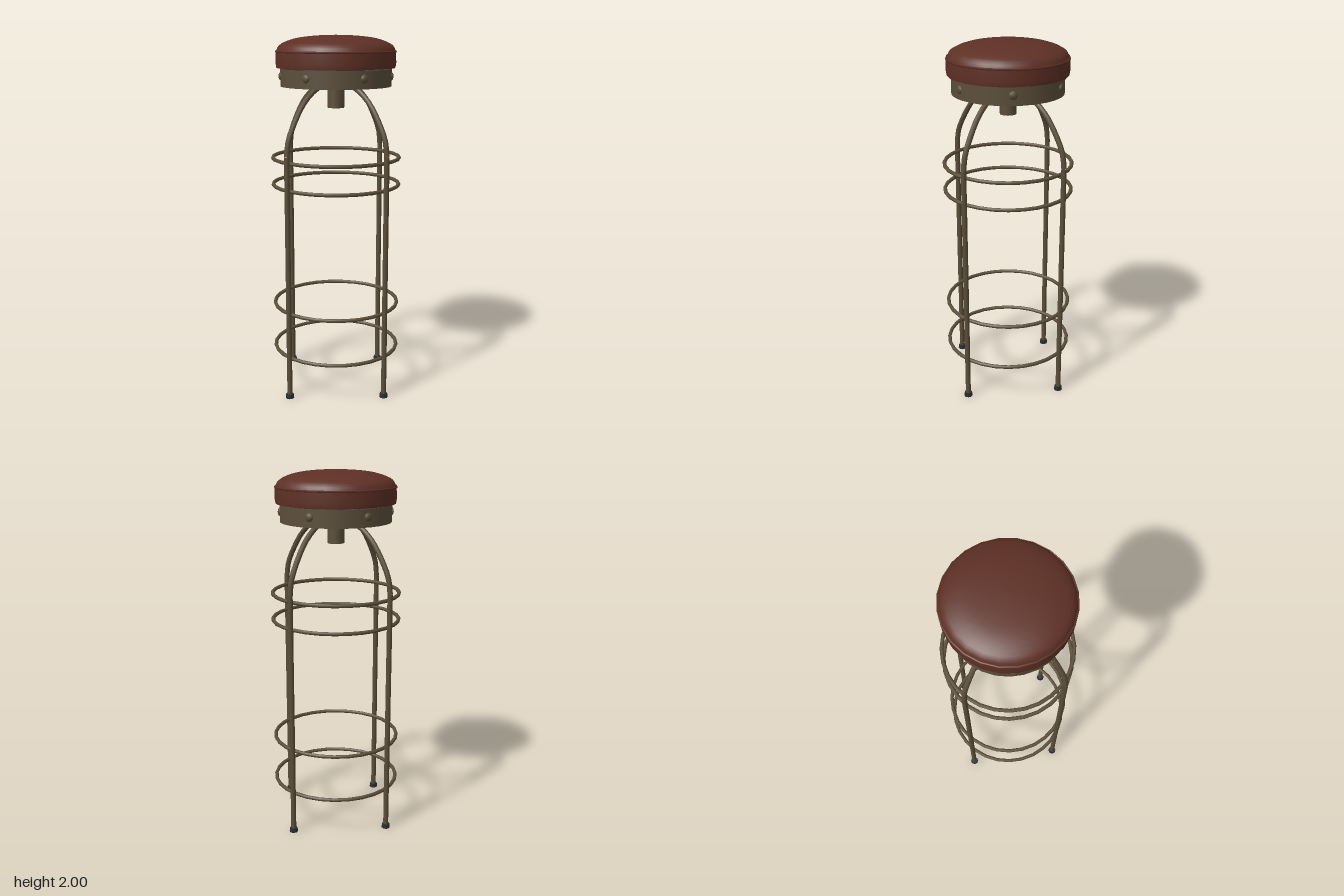
import * as THREE from 'three';

const mat = (name, color, side = THREE.FrontSide) => {
  const m = new THREE.MeshStandardMaterial({ color, side });
  m.name = name;
  return m;
};

export function createModel() {
  const leather = mat('redLeather', 0x5e3025);
  const metal = mat('agedBronze', 0x5c4f3b);
  const slate = mat('slateSteel', 0x454c54);
  const rubber = mat('darkRubber', 0x2a2e2f);
  const model = new THREE.Group();
  model.name = 'barStool';

  const add = (name, geometry, material, parent = model) => {
    const mesh = new THREE.Mesh(geometry, material);
    mesh.name = name;
    parent.add(mesh);
    return mesh;
  };
  const lathe = (points, sides) =>
    new THREE.LatheGeometry(points.map(([r, y]) => new THREE.Vector2(r, y)), sides);

  // Cushion: flat base and upright side, piping, then a soft dome
  add('cushionSide', lathe([[0.326, 1.825], [0.33, 1.85], [0.328, 1.912]], 24), leather);
  const base = add('cushionBase', new THREE.CircleGeometry(0.326, 24), leather);
  base.rotation.x = Math.PI / 2;
  base.position.y = 1.826;
  const dome = new THREE.SplineCurve([
    [0.328, 1.91], [0.303, 1.95], [0.22, 1.982], [0.11, 1.996], [0, 2],
  ].map(([r, y]) => new THREE.Vector2(r, y)));
  add('cushionTop', new THREE.LatheGeometry(dome.getPoints(14), 24), leather);
  const piping = add('cushionPiping', new THREE.TorusGeometry(0.327, 0.006, 6, 24), leather);
  piping.rotation.x = Math.PI / 2;
  piping.position.y = 1.912;

  // Metal band under the cushion: outer skin, thin rims, inner skin
  add('bandOuter', new THREE.CylinderGeometry(0.305, 0.305, 0.095, 28, 1, true), metal).position.y = 1.7725;
  add('bandInner', lathe([[0.297, 1.82], [0.297, 1.725]], 28), slate);
  for (const [name, y, turn] of [['bandTopRim', 1.82, -1], ['bandBottomRim', 1.725, 1]]) {
    const rim = add(name, new THREE.RingGeometry(0.297, 0.305, 28), metal);
    rim.rotation.x = turn * Math.PI / 2;
    rim.position.y = y;
  }

  // Six domed bolts around the band
  const bolts = new THREE.Group();
  bolts.name = 'bandBolts';
  model.add(bolts);
  for (let i = 0; i < 6; i++) {
    const a = THREE.MathUtils.degToRad(13 + i * 60);
    const bolt = add('bolt', new THREE.SphereGeometry(0.023, 10, 6), metal, bolts);
    bolt.position.set(Math.sin(a) * 0.303, 1.778, Math.cos(a) * 0.303);
    bolt.rotation.y = a;
    bolt.scale.z = 0.55;
  }

  // Mounting plate and hollow centre stem
  add('mountingPlate', new THREE.BoxGeometry(0.24, 0.02, 0.24), slate).position.y = 1.815;
  add('centreStem', new THREE.CylinderGeometry(0.046, 0.046, 0.2, 14, 1, true), metal).position.y = 1.707;
  add('stemBore', lathe([[0.034, 1.75], [0.034, 1.607]], 14), metal);
  const stemRim = add('stemRim', new THREE.RingGeometry(0.034, 0.046, 14), metal);
  stemRim.rotation.x = Math.PI / 2;
  stemRim.position.y = 1.607;
  const boreEnd = add('stemBoreEnd', new THREE.CircleGeometry(0.034, 14), metal);
  boreEnd.rotation.x = Math.PI / 2;
  boreEnd.position.y = 1.75;

  // Four legs: straight tube that arches inwards to the stem
  const legPath = new THREE.CurvePath();
  legPath.add(new THREE.LineCurve3(new THREE.Vector3(0.374, 0.015, 0), new THREE.Vector3(0.374, 1.37, 0)));
  const arch = new THREE.CatmullRomCurve3([
    [0.374, 1.37], [0.362, 1.45], [0.325, 1.53], [0.25, 1.64],
    [0.17, 1.705], [0.1, 1.732], [0.03, 1.738],
  ].map(([x, y]) => new THREE.Vector3(x, y, 0)));
  const straight = legPath.curves[0];
  const straightGeo = new THREE.TubeGeometry(straight, 1, 0.0145, 8);
  const archGeo = new THREE.TubeGeometry(arch, 14, 0.0145, 8);
  const footGeo = new THREE.CylinderGeometry(0.021, 0.024, 0.024, 8);
  for (let i = 0; i < 4; i++) {
    const leg = new THREE.Group();
    leg.name = 'leg';
    leg.rotation.y = i * Math.PI / 2;
    add('legTube', straightGeo, metal, leg);
    add('legArch', archGeo, metal, leg);
    add('foot', footGeo, rubber, leg).position.set(0.374, 0.012, 0);
    model.add(leg);
  }

  // Four hoops resting against the inside of the legs
  const hoopGeo = new THREE.TorusGeometry(0.353, 0.0105, 8, 28);
  for (const y of [0.228, 0.488, 1.183, 1.333]) {
    const hoop = add('footHoop', hoopGeo, metal);
    hoop.rotation.x = Math.PI / 2;
    hoop.position.y = y;
  }
  return model;
}
